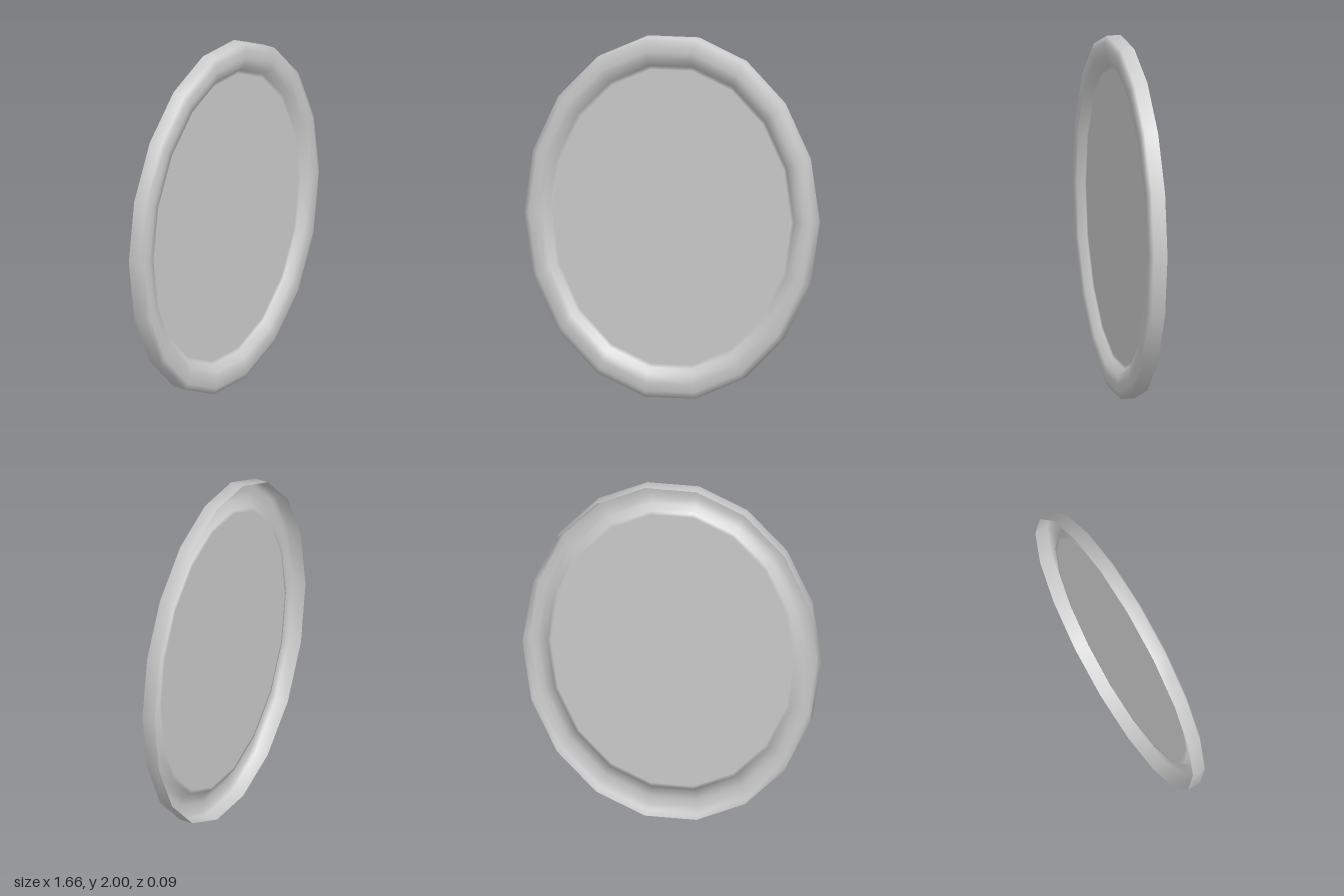
import * as THREE from 'three';

export function createModel() {
  const group = new THREE.Group();
  const material = new THREE.MeshStandardMaterial({ color: 0xcccccc, side: THREE.DoubleSide });
  const sides = 18, halfWidth = 0.83, halfHeight = 1 / Math.cos(Math.PI / sides);

  // Oval shell from a profile of [share of radius, depth], open at the back
  function ovalShell(name, profile) {
    const points = profile.map(([r, z]) => new THREE.Vector2(r, z));
    const geometry = new THREE.LatheGeometry(points, sides, Math.PI / 2);
    geometry.rotateX(Math.PI / 2); // turn the axis to face the front
    geometry.scale(halfWidth, halfHeight, 1);
    const mesh = new THREE.Mesh(geometry, material);
    mesh.name = name;
    mesh.position.y = 1;
    group.add(mesh);
  }

  // Raised rim: outer wall, bevel, flat band and step down to the panel
  ovalShell('rim', [
    [1, -0.046], [1, 0.03], [0.965, 0.045], [0.92, 0.046],
    [0.87, 0.043], [0.84, 0.002], [0.82, 0],
  ]);

  // Recessed flat panel
  ovalShell('panel', [[0.82, 0], [0, 0]]);

  return group;
}
